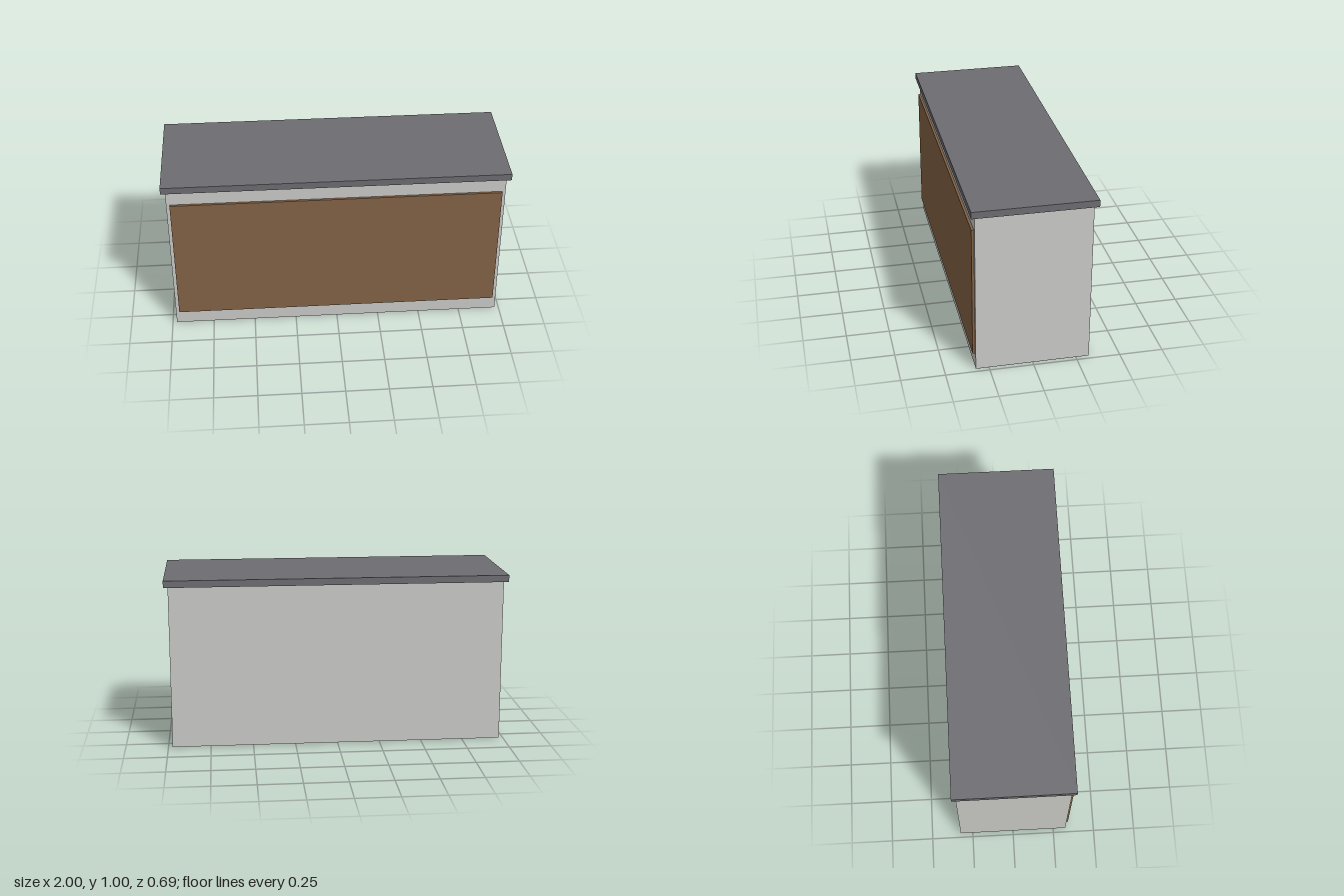
import * as THREE from 'three';

export function createModel() {
  const model = new THREE.Group();
  model.name = 'counter';

  const material = (name, color) => {
    const m = new THREE.MeshStandardMaterial({ color });
    m.name = name;
    return m;
  };
  const paleGrey = material('pale grey', 0xcacac7);
  const slate = material('slate grey', 0x6d6c71);
  const wood = material('brown wood', 0x836245);

  // Box given by its size, its bottom height and its z centre
  const addBox = (name, mat, width, height, depth, bottom, z = 0) => {
    const mesh = new THREE.Mesh(new THREE.BoxGeometry(width, height, depth), mat);
    mesh.name = name;
    mesh.position.set(0, bottom + height / 2, z);
    model.add(mesh);
  };

  // Plinth sits a hair below and inside the body so its base shows cleanly
  addBox('plinth', slate, 1.948, 0.08, 0.63, 0);
  addBox('body', paleGrey, 1.95, 0.958, 0.65, 0.002);
  addBox('countertop', slate, 2, 0.04, 0.695, 0.96);
  addBox('frontPanel', wood, 1.91, 0.78, 0.014, 0.09, 0.332);

  return model;
}
